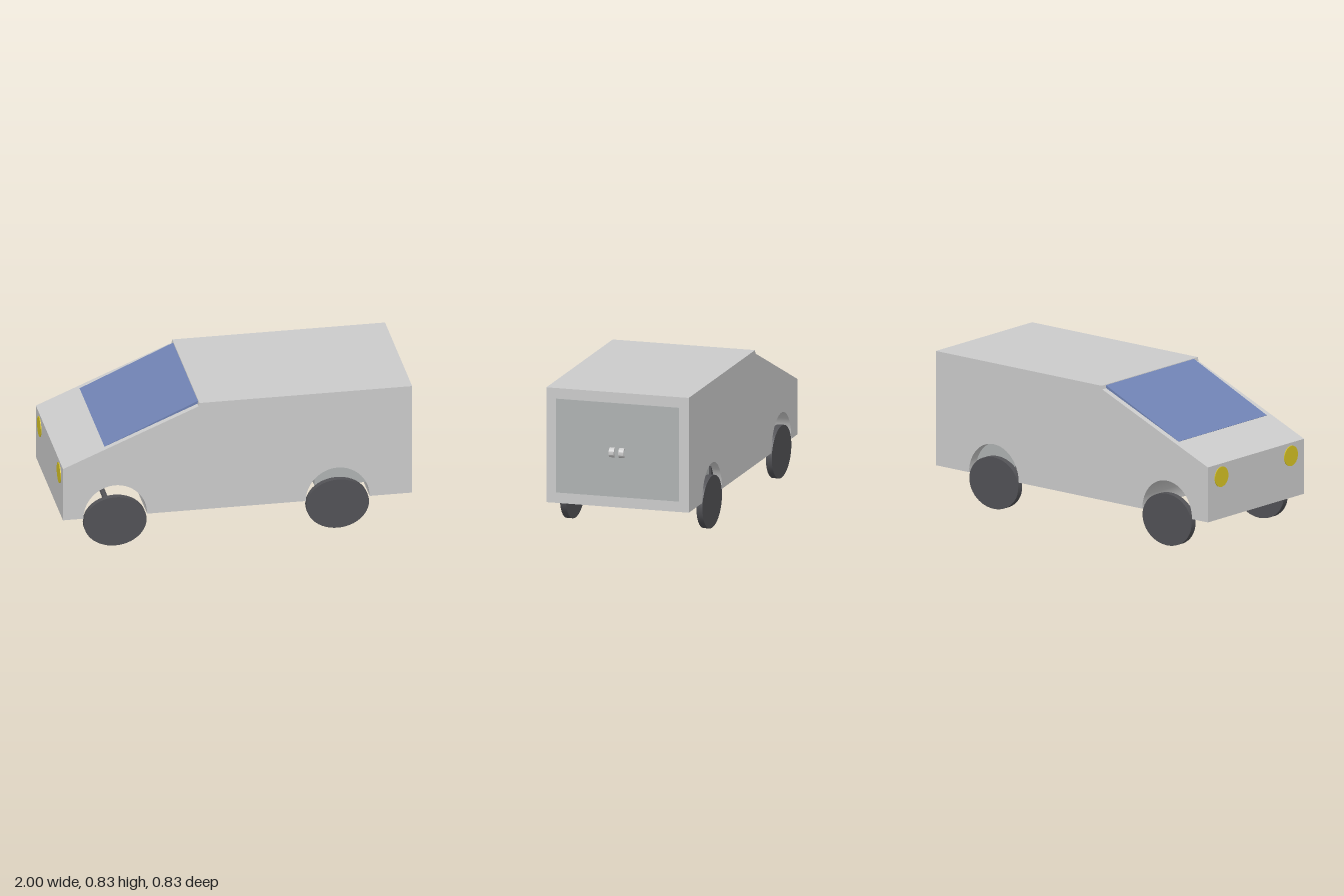
import * as THREE from 'three';
import { toCreasedNormals } from 'three/addons/utils/BufferGeometryUtils.js';

const material = (color) => new THREE.MeshStandardMaterial({ color });
const grey = material(0xcccccc);
const glass = material(0x7083b4);
const rubber = material(0x525256);
const panel = material(0xafb2b2);
const yellow = material(0xd8c424);

export function createModel() {
  const van = new THREE.Group();
  van.name = 'van';

  const add = (name, geometry, mat, x = 0, y = 0, z = 0) => {
    const mesh = new THREE.Mesh(geometry, mat);
    mesh.name = name;
    mesh.position.set(x, y, z);
    van.add(mesh);
    return mesh;
  };

  // Extrude an x-y profile across z, centred on z = 0
  const slab = (shape, width) => {
    const g = new THREE.ExtrudeGeometry(shape, { depth: width, bevelEnabled: false, curveSegments: 32 });
    g.translate(0, 0, -width / 2);
    return toCreasedNormals(g, 0.4);
  };

  const axles = [-0.705, 0.55];
  const base = 0.18;

  // Body side profile with a wheel tunnel over each axle
  const body = new THREE.Shape();
  body.moveTo(-1, base);
  for (const x of axles) {
    body.lineTo(x - 0.18, base);
    body.absellipse(x, base, 0.18, 0.19, Math.PI, 0, true);
  }
  body.lineTo(0.97, base);
  body.lineTo(0.97, 0.835);
  body.lineTo(-0.23, 0.835);
  body.lineTo(-0.235, 0.815);
  body.lineTo(-1, 0.495);
  body.closePath();
  add('body', slab(body, 0.83), grey);

  // Windscreen rising out of the sloping bonnet
  const screen = new THREE.Shape([
    new THREE.Vector2(-0.76, 0.597),
    new THREE.Vector2(-0.75, 0.58),
    new THREE.Vector2(-0.232, 0.805),
    new THREE.Vector2(-0.232, 0.832),
  ]);
  add('windscreen', slab(screen, 0.76), glass);

  // Cargo box: its end is the rear door, its floor shows in the rear tunnel
  add('cargoBox', new THREE.BoxGeometry(0.543, 0.535, 0.716), panel, 0.7015, 0.5075, 0);
  add('bulkhead', new THREE.BoxGeometry(0.1, 0.2, 0.02), rubber, 0.38, 0.34, -0.36);

  // Half-ring door handles
  const ring = new THREE.Shape();
  ring.absarc(0, 0, 0.028, -Math.PI / 2, Math.PI / 2, false);
  ring.absarc(0, 0, 0.018, Math.PI / 2, -Math.PI / 2, true);
  ring.closePath();
  for (const z of [-0.028, 0.028]) {
    add('doorHandle', slab(ring, 0.03), grey, 0.972, 0.493, z);
  }

  // Headlights on the nose
  for (const z of [-0.3, 0.3]) {
    const lamp = add('headlight', new THREE.CylinderGeometry(0.058, 0.058, 0.01, 32), yellow, -0.999, 0.42, z);
    lamp.rotation.z = Math.PI / 2;
  }

  // Slightly flattened wheels, joined in pairs by an axle
  const wheel = new THREE.CylinderGeometry(1, 1, 0.035, 48).rotateX(Math.PI / 2);
  wheel.scale(0.177, 0.148, 1);
  const rod = new THREE.CylinderGeometry(0.015, 0.015, 0.78, 24).rotateX(Math.PI / 2);
  for (const x of axles) {
    add('axle', rod, rubber, x, 0.15, 0);
    add('leftWheel', wheel, rubber, x, 0.148, 0.397);
    add('rightWheel', wheel, rubber, x, 0.148, -0.399);
  }

  return van;
}
